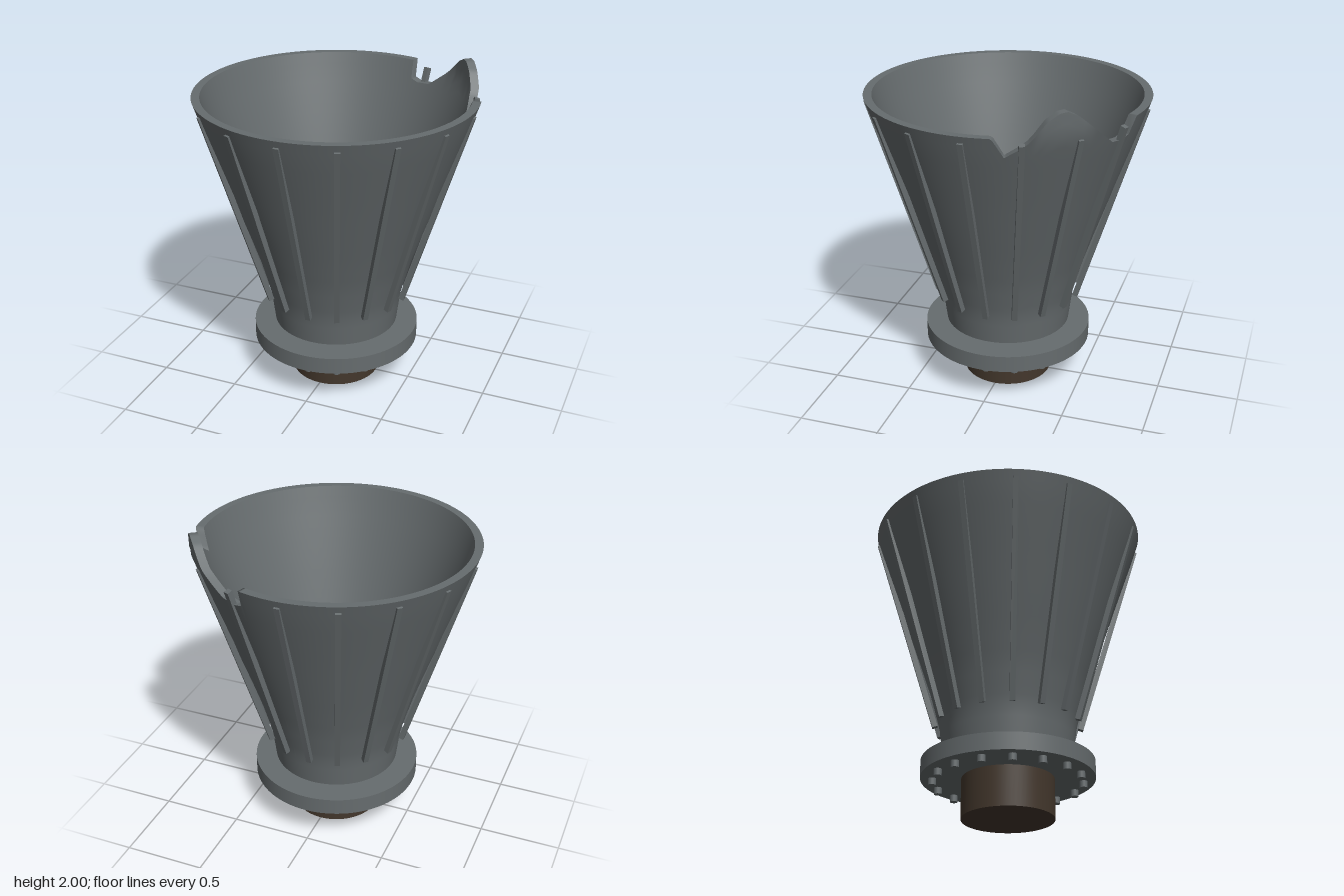
import * as THREE from 'three';

const gray = new THREE.MeshStandardMaterial({ color: 0x666c6e });
gray.name = 'gunmetal';
const brown = new THREE.MeshStandardMaterial({ color: 0x43372c });
brown.name = 'scorchedBrown';

// Piecewise-linear lookup through [input, output] pairs
function lookup(pairs, x) {
  if (x <= pairs[0][0]) return pairs[0][1];
  for (let i = 1; i < pairs.length; i++) {
    const [x0, y0] = pairs[i - 1], [x1, y1] = pairs[i];
    if (x <= x1) return y0 + (y1 - y0) * (x - x0) / (x1 - x0);
  }
  return pairs[pairs.length - 1][1];
}

// Outer radius of the bell by height
const BELL = [[0.37, 0.39], [0.57, 0.415], [0.8, 0.478], [1, 0.545], [1.4, 0.685],
  [1.75, 0.81], [1.87, 0.85], [2, 0.852]];
// Rim height by angle in degrees, with the broken jagged stretch
const RIM = [[11.5, 1.87], [16, 1.75], [22, 1.805], [25, 1.84], [31.5, 1.955], [36, 1.995],
  [39, 2], [43.5, 1.968], [53.5, 1.845], [62, 1.755], [69, 1.745], [73, 1.76], [74, 1.87]];
const BOTTOM = 0.37, WALL = 0.05;

// Closed ring surface; point(angle in degrees, v) returns [radius, height]
function ringSurface(rows, point) {
  const pos = [], index = [], n = 360;
  for (let i = 0; i < n; i++) {
    const a = THREE.MathUtils.degToRad(i);
    for (let j = 0; j <= rows; j++) {
      const [r, y] = point(i, j / rows);
      pos.push(r * Math.cos(a), y, -r * Math.sin(a));
    }
  }
  const at = (i, j) => (i % n) * (rows + 1) + j;
  for (let i = 0; i < n; i++) for (let j = 0; j < rows; j++) {
    index.push(at(i, j), at(i + 1, j), at(i + 1, j + 1), at(i, j), at(i + 1, j + 1), at(i, j + 1));
  }
  const g = new THREE.BufferGeometry();
  g.setAttribute('position', new THREE.Float32BufferAttribute(pos, 3));
  g.setIndex(index);
  g.computeVertexNormals();
  return g;
}

function add(parent, name, geometry, material, y = 0) {
  const mesh = new THREE.Mesh(geometry, material);
  mesh.name = name;
  mesh.position.y = y;
  parent.add(mesh);
  return mesh;
}

export function createModel() {
  const model = new THREE.Group();
  model.name = 'nozzle';

  // Bell: outer wall, rim, inner wall and lower lip
  const bell = new THREE.Group();
  bell.name = 'bell';
  model.add(bell);
  const height = (a, t) => BOTTOM + (lookup(RIM, a) - BOTTOM) * t;
  add(bell, 'bellOuterWall', ringSurface(24, (a, v) => {
    const y = height(a, v);
    return [lookup(BELL, y), y];
  }), gray);
  add(bell, 'bellRim', ringSurface(1, (a, v) => {
    const y = height(a, 1);
    return [lookup(BELL, y) - WALL * v, y];
  }), gray);
  add(bell, 'bellInnerWall', ringSurface(24, (a, v) => {
    const y = height(a, 1 - v);
    return [lookup(BELL, y) - WALL, y];
  }), gray);
  add(bell, 'bellLowerLip', ringSurface(1, (a, v) => [0.39 - WALL * (1 - v), BOTTOM]), gray);

  // Flange below the bell, and the throat pipe it sits on
  add(model, 'flange', new THREE.CylinderGeometry(0.522, 0.522, 0.105, 96), gray, 0.2975);
  add(model, 'throat', new THREE.CylinderGeometry(0.278, 0.278, 0.245, 64), brown, 0.1225);

  // Straight ribs around the bell and bolts under the flange
  const low = [0.442, 0.57], high = [0.832, 1.83];
  const dx = high[0] - low[0], dy = high[1] - low[1];
  const ribGeometry = new THREE.BoxGeometry(0.033, Math.hypot(dx, dy), 0.033);
  const boltGeometry = new THREE.CylinderGeometry(0.024, 0.024, 0.045, 16);
  for (let i = 0; i < 16; i++) {
    const spoke = new THREE.Group();
    spoke.name = 'ribAndBolt';
    spoke.rotation.y = i * Math.PI / 8;
    model.add(spoke);
    const rib = add(spoke, 'rib', ribGeometry, gray, (low[1] + high[1]) / 2);
    rib.position.x = (low[0] + high[0]) / 2;
    rib.rotation.z = -Math.atan2(dx, dy);
    add(spoke, 'bolt', boltGeometry, gray, 0.2265).position.x = 0.45;
  }
  return model;
}
